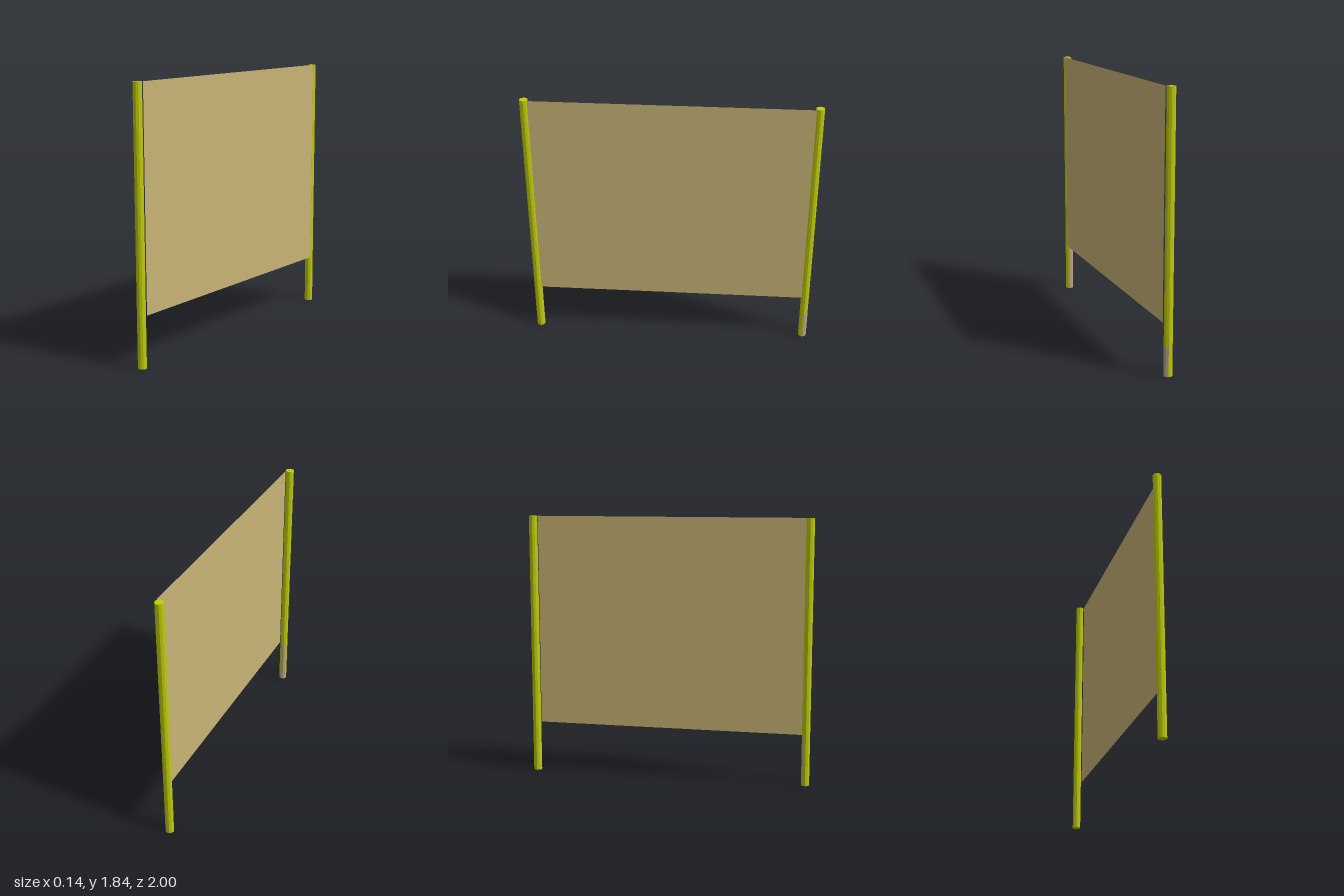
import * as THREE from 'three';

export function createModel() {
  const group = new THREE.Group();
  const material = (name, color, extra = {}) => {
    const m = new THREE.MeshStandardMaterial({ color, ...extra });
    m.name = name;
    return m;
  };
  const postPaint = material('yellow green', 0xc0cc0a, { flatShading: true });
  const panelPaint = material('tan', 0xc8b476, { side: THREE.DoubleSide });
  const wornPaint = material('worn beige', 0xbda58a, { flatShading: true });

  const height = 1.84, radius = 0.029, facet = Math.PI / 5;

  const add = (name, geometry, mat, x, y, z) => {
    const mesh = new THREE.Mesh(geometry, mat);
    mesh.name = name;
    mesh.position.set(x, y, z);
    group.add(mesh);
    return mesh;
  };

  // Ten-sided post with a bare patch, two facets wide, at its foot
  const addPost = (name, x, z, patchHeight, patchStart) => {
    add(name, new THREE.CylinderGeometry(radius, radius, height, 10, 1, false, Math.PI / 2),
      postPaint, x, height / 2, z);
    const r = radius + 0.0006;
    add(name + 'Patch', new THREE.CylinderGeometry(r, r, patchHeight, 2, 1, true, patchStart, 2 * facet),
      wornPaint, x, patchHeight / 2, z);
  };
  addPost('frontPost', -0.044, 0.972, 0.34, Math.PI / 2 + 2 * facet);
  addPost('backPost', 0.041, -0.972, 0.2, Math.PI / 2);

  // Thin panel stretched at a slight angle between the posts
  const a = new THREE.Vector2(-0.02, 0.946), b = new THREE.Vector2(0.068, -0.946);
  const bottom = 0.35;
  const panel = add('panel', new THREE.PlaneGeometry(a.distanceTo(b), height - bottom), panelPaint,
    (a.x + b.x) / 2, (height + bottom) / 2, (a.y + b.y) / 2);
  panel.rotation.y = Math.atan2(a.y - b.y, b.x - a.x);

  return group;
}
